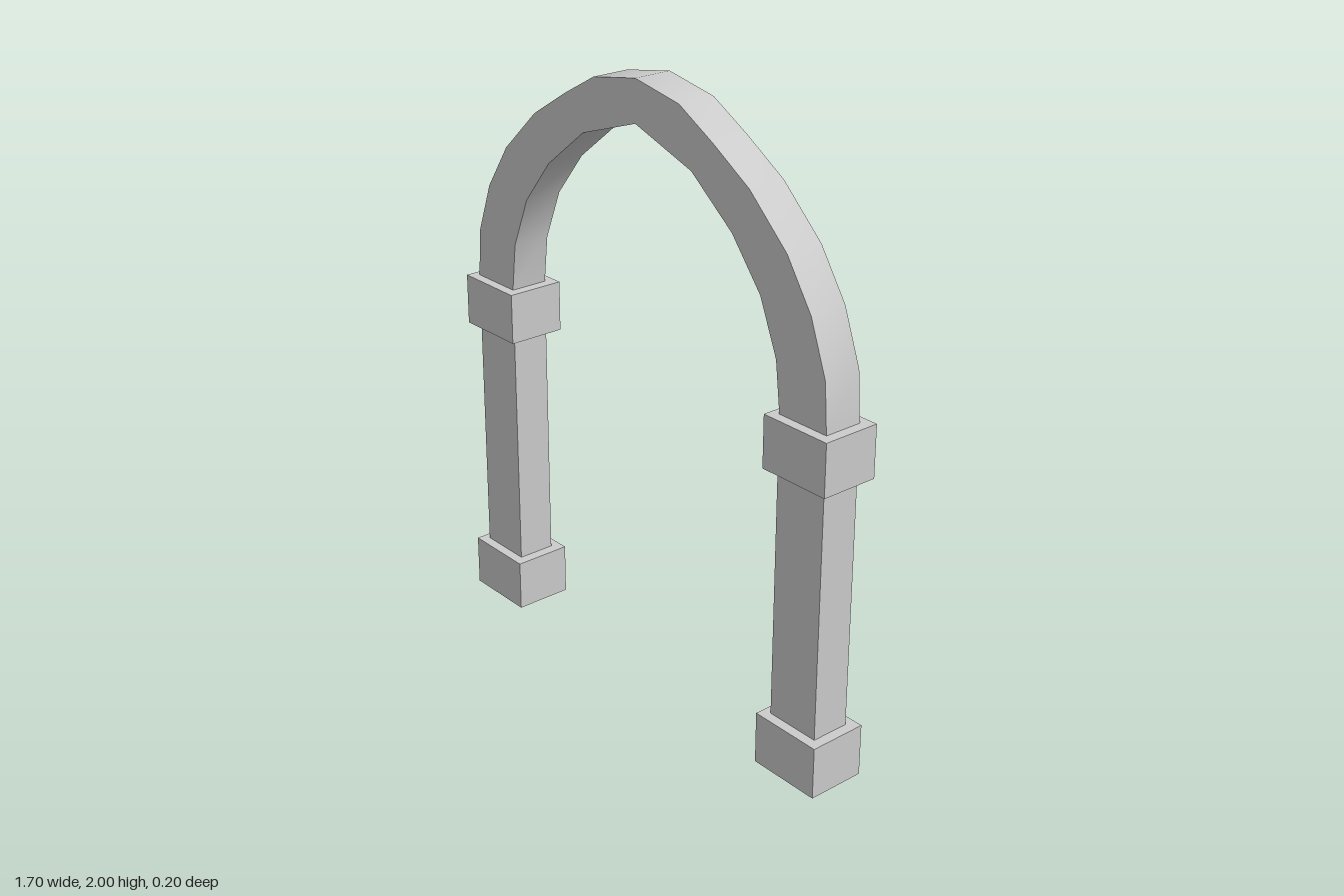
import * as THREE from 'three';
import { toCreasedNormals } from 'three/addons/utils/BufferGeometryUtils.js';

const material = new THREE.MeshStandardMaterial({ color: 0xcccccc });
const DEPTH = 0.13;
const SHIFT = -0.004; // the shafts and arch sit slightly off the blocks' centre

// Half profiles of the arch, from springing to apex
const OUTER = [[0.82, 1.165], [0.808, 1.325], [0.745, 1.495], [0.645, 1.645],
  [0.49, 1.79], [0.337, 1.885], [0.193, 1.965], [0, 2]];
const INNER = [[0.632, 1.165], [0.613, 1.325], [0.543, 1.495], [0.422, 1.645],
  [0.248, 1.782], [0, 1.865]];

// Mirrors a half profile into a full span running from +x to -x
function fullSpan(half) {
  const mirrored = half.slice(0, -1).reverse().map(([x, y]) => [-x, y]);
  return [...half, ...mirrored].map(([x, y]) => new THREE.Vector2(x, y));
}

function addBox(parent, name, x, bottom, top, width, depth) {
  const mesh = new THREE.Mesh(new THREE.BoxGeometry(width, top - bottom, depth), material);
  mesh.position.set(x, (bottom + top) / 2, 0);
  mesh.name = name;
  parent.add(mesh);
}

export function createModel() {
  const model = new THREE.Group();
  model.name = 'archway';

  // Two pillars: base, shaft, capital
  for (const side of [1, -1]) {
    const pillar = new THREE.Group();
    pillar.name = side > 0 ? 'leftPillar' : 'rightPillar';
    addBox(pillar, 'base', side * 0.725, 0, 0.173, 0.25, 0.196);
    addBox(pillar, 'shaft', side * 0.726 + SHIFT, 0.173, 0.995, 0.188, DEPTH);
    addBox(pillar, 'capital', side * 0.725, 0.995, 1.165, 0.25, 0.196);
    model.add(pillar);
  }

  // Pointed arch, smooth along the curve with a crease under the apex
  const shape = new THREE.Shape([...fullSpan(OUTER), ...fullSpan(INNER).reverse()]);
  const geometry = new THREE.ExtrudeGeometry(shape, { depth: DEPTH, bevelEnabled: false });
  geometry.translate(SHIFT, 0, -DEPTH / 2);
  const arch = new THREE.Mesh(toCreasedNormals(geometry, Math.PI / 6), material);
  arch.name = 'arch';
  model.add(arch);

  return model;
}
